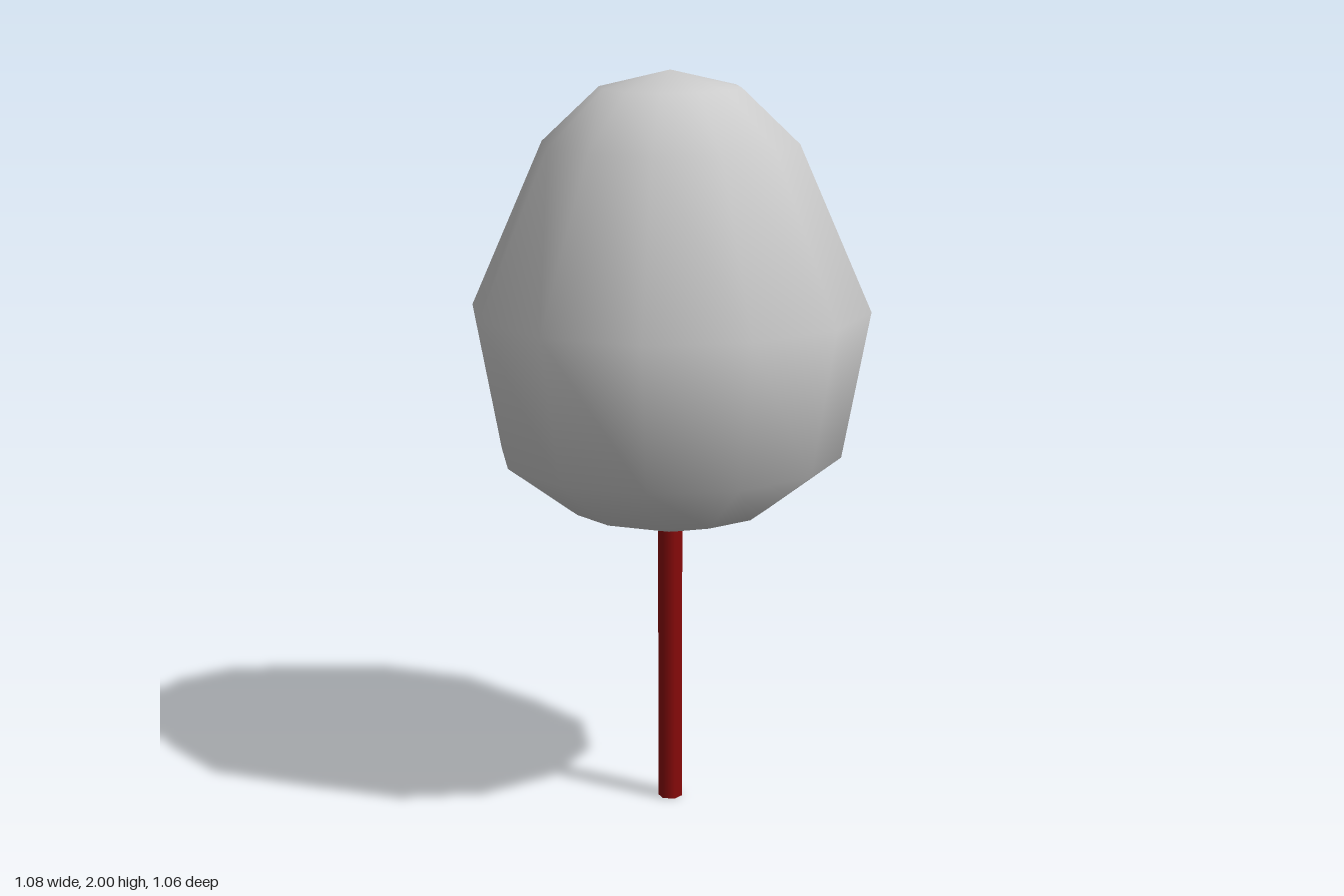
import * as THREE from 'three';

export function createModel() {
  const group = new THREE.Group();

  // Egg-shaped crown: twelve sides, smooth shaded
  const profile = [
    [0, 0.755], [0.27, 0.83], [0.465, 0.975], [0.54, 1.37],
    [0.345, 1.81], [0.19, 1.955], [0, 2],
  ].map(([r, y]) => new THREE.Vector2(r, y));
  const crownGeometry = new THREE.LatheGeometry(profile, 12);

  // Point the normals straight up and down at the two poles
  const { position, normal } = crownGeometry.attributes;
  for (let i = 0; i < position.count; i++) {
    if (Math.hypot(position.getX(i), position.getZ(i)) < 1e-6) {
      normal.setXYZ(i, 0, position.getY(i) > 1.37 ? 1 : -1, 0);
    }
  }
  crownGeometry.scale(1, 1, 0.985);
  const crown = new THREE.Mesh(crownGeometry, new THREE.MeshStandardMaterial({ color: 0xcccccc }));
  crown.name = 'crown';
  group.add(crown);

  // Thin hexagonal trunk, its corners on the x axis
  const height = 0.79;
  const trunkGeometry = new THREE.CylinderGeometry(0.033, 0.033, height, 6);
  trunkGeometry.rotateY(Math.PI / 2).translate(0, height / 2, 0);
  const trunk = new THREE.Mesh(trunkGeometry, new THREE.MeshStandardMaterial({ color: 0x8a0a0a }));
  trunk.name = 'trunk';
  group.add(trunk);

  return group;
}
